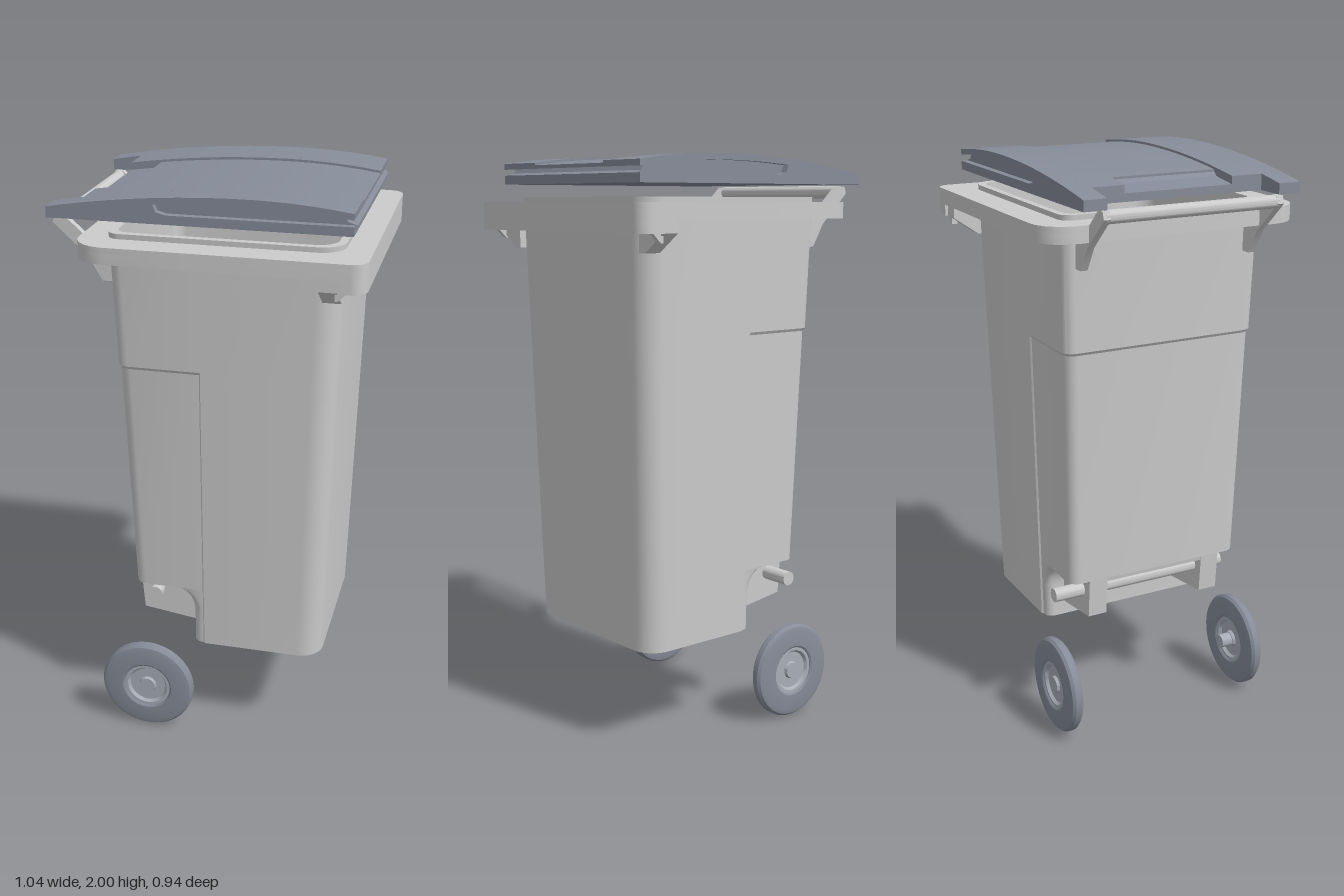
import * as THREE from 'three';
import { toCreasedNormals } from 'three/addons/utils/BufferGeometryUtils.js';

const grey = new THREE.MeshStandardMaterial({ color: 0xcccccc, side: THREE.DoubleSide });
const slate = new THREE.MeshStandardMaterial({ color: 0x868c99 });
const hubGrey = new THREE.MeshStandardMaterial({ color: 0xa8adb8 });

function add(parent, name, geometry, material, x = 0, y = 0, z = 0) {
  const mesh = new THREE.Mesh(toCreasedNormals(geometry, 0.5), material);
  mesh.name = name;
  mesh.position.set(x, y, z);
  parent.add(mesh);
  return mesh;
}

const polygon = (pts) => new THREE.Shape(pts.map(([x, y]) => new THREE.Vector2(x, y)));

// side profile in x/y, swept from z0 to z1
function slab(pts, z0, z1) {
  return new THREE.ExtrudeGeometry(polygon(pts), { depth: z1 - z0, bevelEnabled: false }).translate(0, 0, z0);
}

// plan outline: rear corners use rb, front corners rf
function outline(xb, xf, hz, rb, rf, inset = 0) {
  const half = [];
  const arc = (cx, cz, r, a0, a1, n, off) => {
    for (let i = 0; i <= n; i++) {
      const a = a0 + (a1 - a0) * i / n;
      half.push([cx + r * Math.cos(a), cz + r * Math.sin(a) - off]);
    }
  };
  arc(xb + rb, hz - rb, rb, Math.PI, Math.PI / 2, 5, inset);
  half.push([-0.035, hz - inset], [-0.03, hz]);
  arc(xf - rf, hz - rf, rf, Math.PI / 2, 0, 7, 0);
  return half.concat(half.map(([x, z]) => [x, -z]).reverse());
}

// skin through rings of plan points, closed at both ends
function loft(rings) {
  const p = [];
  const put = (r, i) => { const [x, z] = r.pts[i % r.pts.length]; p.push(x, r.y, z); };
  const n = rings[0].pts.length;
  for (let k = 0; k < rings.length - 1; k++) {
    const a = rings[k], b = rings[k + 1];
    for (let i = 0; i < n; i++) {
      put(a, i); put(a, i + 1); put(b, i + 1);
      put(a, i); put(b, i + 1); put(b, i);
    }
  }
  const first = rings[0], last = rings[rings.length - 1];
  for (let i = 0; i < n; i++) {
    p.push(0.15, first.y, 0); put(first, i + 1); put(first, i);
    p.push(0.05, last.y, 0); put(last, i); put(last, i + 1);
  }
  const g = new THREE.BufferGeometry();
  g.setAttribute('position', new THREE.Float32BufferAttribute(p, 3));
  g.computeVertexNormals();
  return g;
}

// flat ring from y0 to y1 with a plan outline and an opening
function planRing(outer, inner, y0, y1) {
  const shape = polygon(outer.map(([x, z]) => [x, -z]));
  shape.holes.push(new THREE.Path(inner.map(([x, z]) => new THREE.Vector2(x, -z))));
  return new THREE.ExtrudeGeometry(shape, { depth: y1 - y0, bevelEnabled: false })
    .rotateX(-Math.PI / 2).translate(0, y0, 0);
}

function bodyRing(y, rear, wall = 0) {
  const t = (y - 0.35) / 1.5;
  const inset = y < 1.405 && !wall ? 0.006 : 0;
  const xb = rear ?? -0.29 - 0.04 * (y - 0.57) / 1.23 + inset;
  return { y, pts: outline(xb + wall, 0.39 + 0.04 * t - wall, 0.333 + 0.034 * t - wall,
    rear === undefined ? 0.04 : 0.03, 0.08 - wall / 2, inset) };
}

function buildBody(bin) {
  const body = new THREE.Group();
  body.name = 'body';
  bin.add(body);

  // tapered tub with the wheel arch cut from the lower rear
  const rings = [bodyRing(0.35, -0.07)];
  for (let i = 0; i <= 8; i++) {
    const a = i / 8 * Math.PI / 2;
    rings.push(bodyRing(0.475 + 0.095 * Math.sin(a), -0.15 + 0.08 * Math.cos(a)));
  }
  for (const y of [0.57, 1.4, 1.41, 1.862]) rings.push(bodyRing(y));
  for (const y of [1.862, 0.63]) rings.push(bodyRing(y, undefined, 0.025));
  add(body, 'tub', loft(rings), grey);

  // wheel mounts and the underside between them
  add(body, 'rearUnderside', slab([[-0.284, 0.58], [-0.28, 0.555], [-0.15, 0.54], [-0.06, 0.4], [-0.06, 0.58]], -0.2, 0.2), grey);
  for (const s of [-1, 1]) {
    add(body, 'axleBracket', slab([[-0.284, 0.58], [-0.272, 0.43], [-0.06, 0.4], [-0.06, 0.58]], s * 0.225 - 0.035, s * 0.225 + 0.035), grey);
  }
  add(body, 'axle', new THREE.CylinderGeometry(0.025, 0.025, 0.67, 20).rotateX(Math.PI / 2), grey, -0.22, 0.515, -0.035);

  // rim: top plate, skirt and the deeper front skirt
  const opening = outline(-0.32, 0.42, 0.357, 0.04, 0.08);
  const outer = outline(-0.422, 0.518, 0.47, 0.11, 0.05);
  const inner = outline(-0.402, 0.498, 0.45, 0.09, 0.035);
  add(body, 'rimPlate', planRing(outer, opening, 1.825, 1.845), grey);
  add(body, 'rimSkirt', planRing(outer, inner, 1.79, 1.83), grey);
  const frontOnly = (pts) => pts.map(([x, z]) => [Math.max(x, 0.43), z]);
  const cut = frontOnly(outer).filter(([x]) => x > 0.43);
  const back = frontOnly(inner).filter(([x]) => x > 0.43).reverse();
  const strip = polygon([[0.43, 0.47], ...cut, [0.43, -0.47], [0.43, -0.45], ...back, [0.43, 0.45]].map(([x, z]) => [x, -z]));
  add(body, 'frontSkirt', new THREE.ExtrudeGeometry(strip, { depth: 0.06, bevelEnabled: false })
    .rotateX(-Math.PI / 2).translate(0, 1.75, 0), grey);

  // corner gussets under the rim
  for (const s of [-1, 1]) {
    const gusset = polygon([[0.34, 1.82], [0.46, 1.82], [0.46, 1.75], [0.37, 1.687], [0.34, 1.687]].map(([z, y]) => [-s * z, y]));
    add(body, 'gusset', new THREE.ExtrudeGeometry(gusset, { depth: 0.06, bevelEnabled: false })
      .rotateY(Math.PI / 2), grey, 0.37);
    add(body, 'gussetTip', slab([[0.42, 1.8], [0.5, 1.8], [0.46, 1.75], [0.43, 1.72], [0.42, 1.72]], s * 0.44 - 0.01, s * 0.44 + 0.01), grey);
    // handle arms
    add(body, 'handleArm', slab([[-0.515, 1.9], [-0.485, 1.9], [-0.41, 1.83], [-0.31, 1.82], [-0.31, 1.69],
      [-0.362, 1.69], [-0.41, 1.77], [-0.524, 1.875]], s * 0.31 - 0.012, s * 0.31 + 0.012), grey);
  }
  add(body, 'handleBar', new THREE.CylinderGeometry(0.022, 0.022, 0.62, 20).rotateX(Math.PI / 2), grey, -0.5, 1.88);
}

const lidTop = (x) => 2 - (x < 0.13 ? 0.14 : 0.22) * (x - 0.13) ** 2;

// lengthwise band of the lid with a slot cut in from the front
function lidBand(x0, slotX, z0, z1, drop) {
  const xf = 0.462, ledge = 1.935, steps = 16;
  const pts = [[x0, 1.905], [xf, 1.905], [xf, ledge], [slotX + 0.04, ledge], [slotX + 0.01, ledge + 0.008]];
  for (let i = 0; i <= steps; i++) {
    const x = slotX + (xf - slotX) * i / steps;
    pts.push([x, lidTop(x) - 0.02]);
  }
  for (let i = 0; i <= steps; i++) {
    const x = xf + (x0 - xf) * i / steps;
    pts.push([x, lidTop(x) - drop]);
  }
  return slab(pts, z0, z1);
}

function buildLid(bin) {
  const lid = new THREE.Group();
  lid.name = 'lid';
  lid.position.z = -0.004;
  bin.add(lid);
  add(lid, 'centrePanel', lidBand(-0.31, 0.43, -0.194, 0.194, 0.008), slate);
  // lowered panel behind the centre, with a sloped step
  add(lid, 'rearStep', slab([[-0.42, 1.905], [-0.3, 1.905], [-0.3, lidTop(-0.3) - 0.008],
    [-0.325, lidTop(-0.325) - 0.026], [-0.42, lidTop(-0.42) - 0.026]], -0.194, 0.194), slate);
  for (const s of [-1, 1]) {
    const band = (name, x0, slotX, a, b) =>
      add(lid, name, lidBand(x0, slotX, Math.min(s * a, s * b), Math.max(s * a, s * b), 0), slate);
    band('sidePanel', -0.42, 0.43, 0.194, 0.306);
    band('hingeArm', -0.523, 0.43, 0.306, 0.36);
    band('lidEdge', -0.523, -0.17, 0.36, 0.385);
  }
}

function buildWheel(bin, z, stub) {
  const wheel = new THREE.Group();
  wheel.name = 'wheel';
  wheel.position.set(-0.235, 0.17, z);
  bin.add(wheel);
  const turned = (half) => {
    const pts = [...half.map(([r, y]) => [r, -y]), ...half.slice().reverse()];
    return new THREE.LatheGeometry(pts.map(([r, y]) => new THREE.Vector2(r, y)), 48).rotateX(Math.PI / 2);
  };
  add(wheel, 'tyre', turned([[0.084, 0.012], [0.086, 0.02], [0.092, 0.024], [0.148, 0.024], [0.162, 0.02], [0.17, 0.01]]), slate);
  add(wheel, 'hub', turned([[0, 0.018], [0.028, 0.018], [0.032, 0.008], [0.066, 0.008], [0.074, 0.018], [0.086, 0.018]]), hubGrey);
  if (stub) add(wheel, 'hubStub', new THREE.CylinderGeometry(0.025, 0.025, 0.06, 20).rotateX(Math.PI / 2), hubGrey, 0, 0, -0.03);
}

export function createModel() {
  const bin = new THREE.Group();
  bin.name = 'wheeledBin';
  buildBody(bin);
  buildLid(bin);
  buildWheel(bin, 0.37, true);
  buildWheel(bin, -0.365, false);
  return bin;
}
